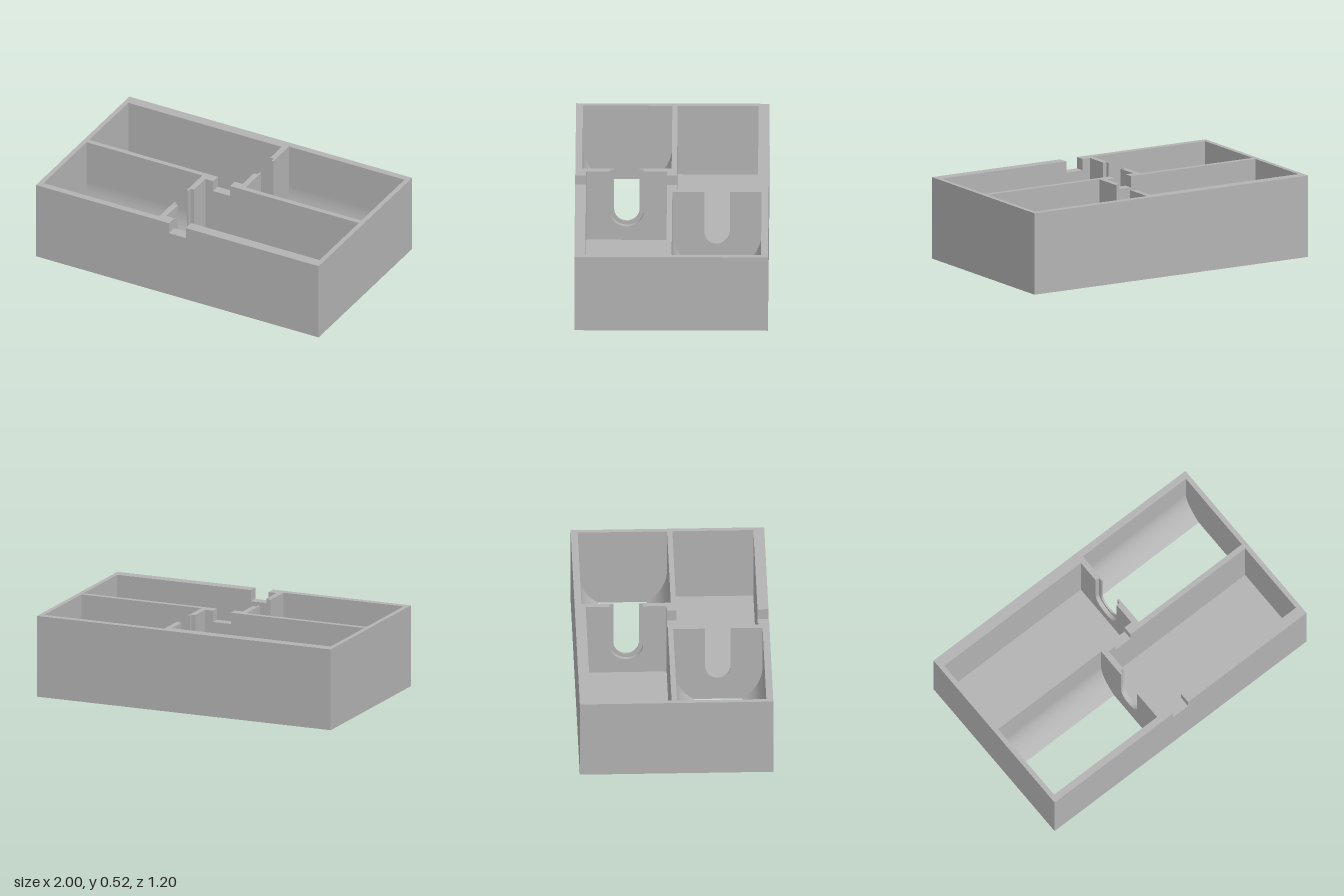
import * as THREE from 'three';
import { toCreasedNormals } from 'three/addons/utils/BufferGeometryUtils.js';

const H = 0.517, NOTCH_Y = 0.445, NOTCH = 0.06; // height, cable notch floor and half width
const CZ = 0.28, R = 0.277, OPEN = 0.149;       // round bay: centre, radius, half width of floor opening
const CY = Math.sqrt(R * R - OPEN * OPEN);      // axis height of the round bay
const FLOOR = 0.035;
const WIDE = 0.104, NARROW = 0.079;             // stepped slot radii
const X0 = 0.115, X1 = 0.14, X2 = 0.152, XE = 0.97;
const ZIN = 0.03, ZOUT = 0.532;

const material = new THREE.MeshStandardMaterial({ color: 0xb3b3b3 });
material.name = 'plain grey';

const toShape = (pts) => new THREE.Shape(pts.map(([x, y]) => new THREE.Vector2(x, y)));

function mesh(name, geometry) {
  const m = new THREE.Mesh(geometry, material);
  m.name = name;
  return m;
}

// Plan shape (x, -z) raised from y0 to y1
function raise(shape, y0, y1) {
  return new THREE.ExtrudeGeometry(shape, { depth: y1 - y0, bevelEnabled: false })
    .rotateX(-Math.PI / 2).translate(0, y0, 0);
}

// Cross-section (z, y) run along x at the round bay's axis
function runAlongX(shape, x0, x1) {
  const g = new THREE.ExtrudeGeometry(shape, { depth: x1 - x0, bevelEnabled: false, curveSegments: 32 })
    .rotateY(Math.PI / 2).translate(x0, 0, -CZ);
  return toCreasedNormals(g, 0.5);
}

// Block with a half-round channel in its top
function channel(r) {
  const s = new THREE.Shape();
  s.moveTo(-r, 0);
  s.lineTo(r, 0);
  s.lineTo(r, CY);
  s.absarc(0, CY, r, 0, Math.PI, true);
  return s;
}

// Curved fillet on one side of the round bay
function fillet(side) {
  const end = Math.acos(OPEN / R), pts = [[side * R, 0]];
  for (let i = 0; i <= 32; i++) {
    const a = (end * i) / 32;
    pts.push([side * R * Math.cos(a), CY - R * Math.sin(a)]);
  }
  return toShape(pts);
}

export function createModel() {
  const model = new THREE.Group();
  model.name = 'tray';

  // Outline of one bay: square pocket, stepped slot, round pocket
  const back = [
    [NOTCH, ZIN], [X0, ZIN], [X0, CZ - WIDE], [X1, CZ - WIDE], [X1, CZ - NARROW], [X2, CZ - NARROW],
    [X2, CZ - R], [XE, CZ - R], [XE, CZ + R], [X2, CZ + R],
    [X2, CZ + NARROW], [X1, CZ + NARROW], [X1, CZ + WIDE], [X0, CZ + WIDE],
    [X0, ZOUT], [-XE, ZOUT], [-XE, ZIN], [-NOTCH, ZIN],
  ];
  const front = back.map(([x, y]) => [-x, -y]);

  // Walls up to the notch floor
  const lower = toShape([[-1, -0.6], [1, -0.6], [1, 0.6], [-1, 0.6]]);
  lower.holes.push(toShape(back), toShape(front));
  model.add(mesh('lowerWalls', raise(lower, 0, NOTCH_Y)));

  // Top of the walls, cut through by the front and middle notches
  const upper = toShape([
    [NOTCH, -0.6], [1, -0.6], [1, 0.6], [-1, 0.6], [-1, -0.6], [-NOTCH, -0.6], [-NOTCH, -ZOUT],
    ...front.slice(0, 15).reverse(),
    ...back.slice().reverse(),
    ...front.slice(15).reverse(),
    [NOTCH, -ZOUT],
  ]);
  model.add(mesh('upperWalls', raise(upper, NOTCH_Y, H)));

  // Floors and cradles, repeated half a turn round for the front bay
  for (const [name, turn] of [['backBay', 0], ['frontBay', Math.PI]]) {
    const bay = new THREE.Group();
    bay.name = name;
    const floor = new THREE.BoxGeometry(XE + X0, FLOOR, ZOUT - ZIN)
      .translate((X0 - XE) / 2, FLOOR / 2, -(ZIN + ZOUT) / 2);
    bay.add(mesh('pocketFloor', floor));
    bay.add(mesh('wideSlotBottom', runAlongX(channel(WIDE), X0, X1)));
    bay.add(mesh('narrowSlotBottom', runAlongX(channel(NARROW), X1, X2)));
    for (const side of [-1, 1]) {
      bay.add(mesh(side < 0 ? 'innerCradle' : 'outerCradle', runAlongX(fillet(side), X2, XE)));
    }
    bay.rotation.y = turn;
    model.add(bay);
  }
  return model;
}
